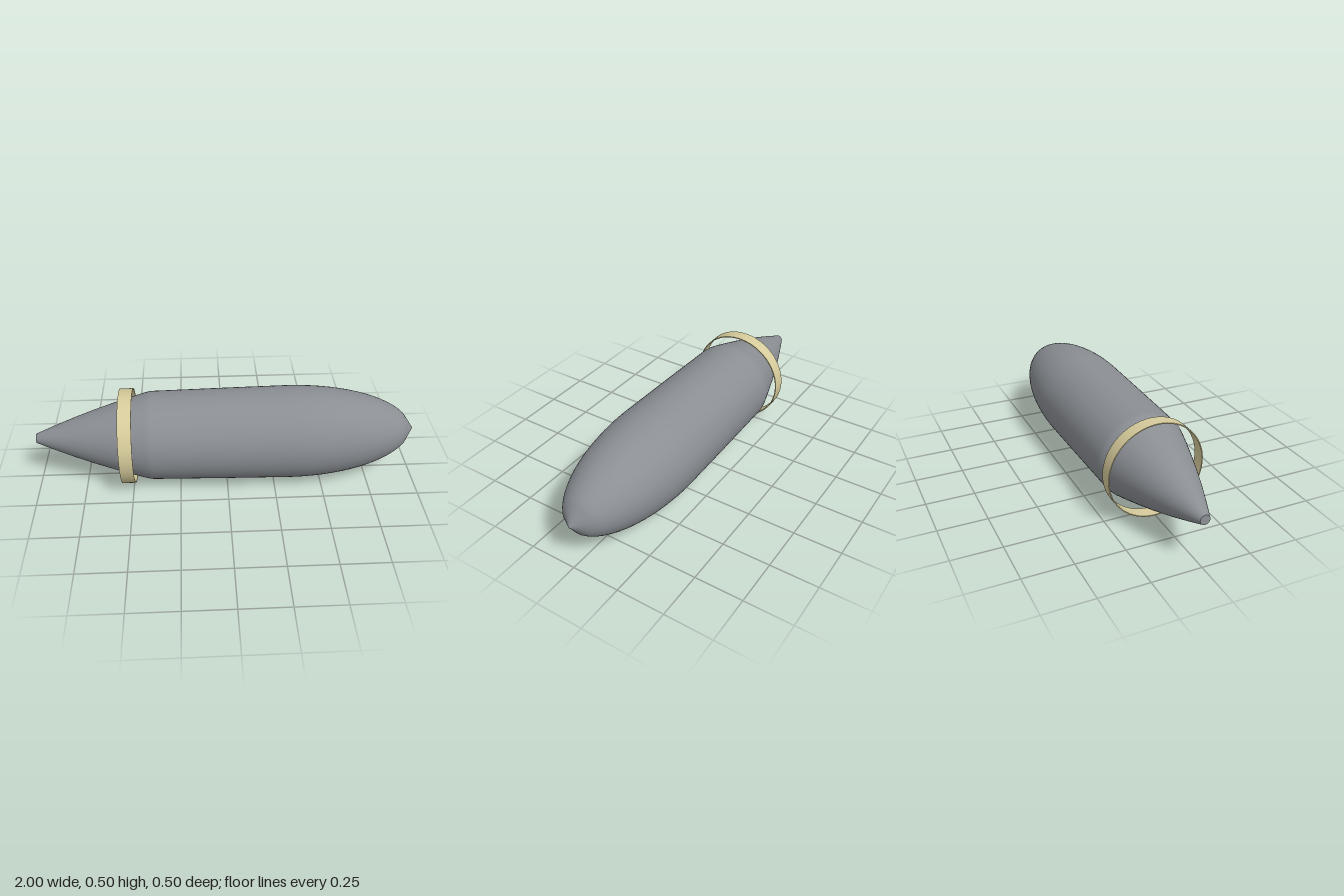
import * as THREE from 'three';

export function createModel() {
  const group = new THREE.Group();
  const hullGrey = new THREE.MeshStandardMaterial({ color: 0x8b8f94 });
  hullGrey.name = 'hullGrey';
  const ringCream = new THREE.MeshStandardMaterial({ color: 0xd6cb9b });
  ringCream.name = 'ringCream';
  const centreY = 0.25;

  // Revolves [x, radius] pairs around the long x axis
  function revolve(name, profile, material, segments) {
    const points = profile.map(([x, r]) => new THREE.Vector2(r, x));
    const geometry = new THREE.LatheGeometry(points, segments);
    geometry.rotateZ(-Math.PI / 2);
    const mesh = new THREE.Mesh(geometry, material);
    mesh.name = name;
    mesh.position.y = centreY;
    group.add(mesh);
  }

  // Hull: tapered tail, nearly straight middle, elliptical nose with a blunt point
  const hull = [
    [-1, 0.025], [-0.9, 0.066], [-0.8, 0.105], [-0.7, 0.141],
    [-0.6, 0.174], [-0.5, 0.205], [-0.42, 0.228], [-0.39, 0.233], [0, 0.24],
  ];
  const steps = 14;
  for (let i = 0; i <= steps; i++) {
    const a = (i / steps) * 1.224;
    hull.push([0.333 + 0.65 * Math.sin(a), 0.245 * Math.cos(a)]);
  }
  hull.push([1, 0]);
  revolve('hull', hull, hullGrey, 64);

  // Flat end of the tail
  revolve('tailCap', [[-1, 0], [-1, 0.025]], hullGrey, 64);

  // Thin ring standing clear of the tail; repeated corners keep its edges sharp
  const x0 = -0.555, x1 = -0.485, inner = 0.245, outer = 0.25;
  revolve('tailRingOuter', [[x0, outer], [x1, outer]], ringCream, 64);
  revolve('tailRingInner', [[x1, inner], [x0, inner]], ringCream, 64);
  revolve('tailRingFrontEdge', [[x1, outer], [x1, inner]], ringCream, 64);
  revolve('tailRingRearEdge', [[x0, inner], [x0, outer]], ringCream, 64);

  return group;
}
